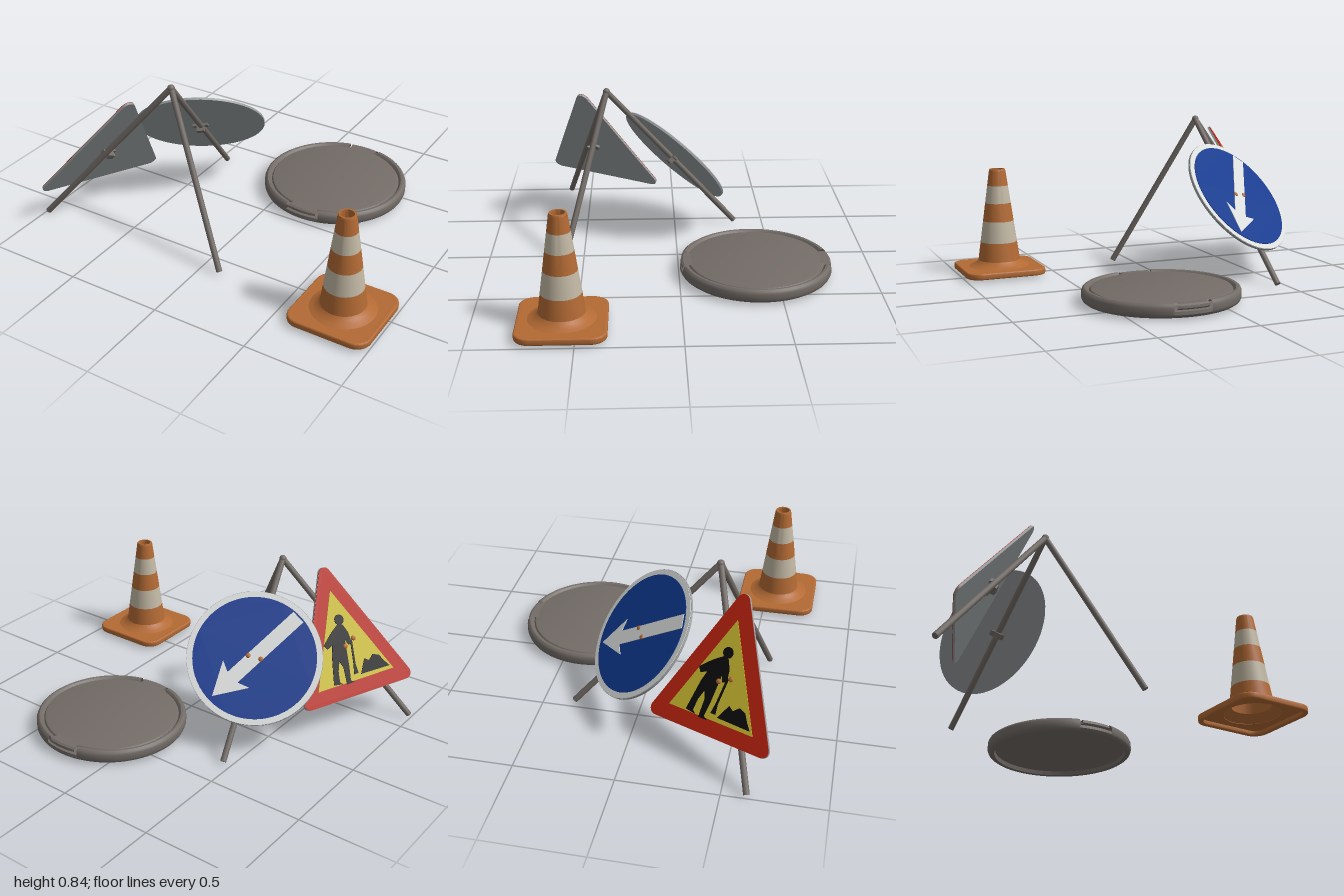
import * as THREE from 'three';
import { toCreasedNormals } from 'three/addons/utils/BufferGeometryUtils.js';

const V = (x, y, z) => new THREE.Vector3(x, y, z);

export function createModel() {
  const mat = (name, color, side = THREE.FrontSide) => {
    const m = new THREE.MeshStandardMaterial({ color, side });
    m.name = name;
    return m;
  };
  const iron = mat('dark iron', 0x736c67, THREE.DoubleSide);
  const steel = mat('plate grey', 0x999e9f);
  const orange = mat('cone orange', 0xb36a34, THREE.DoubleSide);
  const cream = mat('cone cream', 0xc2b8a4, THREE.DoubleSide);
  const white = mat('sign white', 0xdcdedd);
  const blue = mat('sign blue', 0x10398f);
  const red = mat('sign red', 0xb8210f);
  const yellow = mat('sign yellow', 0xc9ba2f);
  const black = mat('sign black', 0x0c0c0c);

  const root = new THREE.Group();
  root.name = 'roadworkSet';
  const group = (name, parent = root) => {
    const g = new THREE.Group();
    g.name = name;
    parent.add(g);
    return g;
  };
  const add = (parent, name, geo, material) => {
    const m = new THREE.Mesh(geo, material);
    m.name = name;
    parent.add(m);
    return m;
  };
  const lathe = (pts, seg = 48, start = 0, len = Math.PI * 2) => toCreasedNormals(
    new THREE.LatheGeometry(pts.map(p => new THREE.Vector2(...p)), seg, start, len), 0.6);
  const slab = (shape, depth) => toCreasedNormals(
    new THREE.ExtrudeGeometry(shape, { depth, bevelEnabled: false, curveSegments: 32 }), 0.5);
  const poly = pts => new THREE.Shape(pts.map(p => new THREE.Vector2(...p)));
  const disc = (r, x = 0, y = 0) => new THREE.Shape().absarc(x, y, r, 0, Math.PI * 2);
  const rod = (parent, name, a, b, r) => {
    const d = b.clone().sub(a);
    const m = add(parent, name, new THREE.CylinderGeometry(r, r, d.length(), 12), iron);
    m.position.copy(a).add(b).multiplyScalar(0.5);
    m.quaternion.setFromUnitVectors(V(0, 1, 0), d.normalize());
  };

  // Tripod
  const tripod = group('tripod');
  const apex = V(-0.31, 0.825, 0.37);
  const feet = [V(-0.985, 0.012, 0.62), V(0.105, 0.012, 0.6), V(-0.455, 0.012, -0.34)];
  feet.forEach((f, i) => rod(tripod, 'leg' + (i + 1), apex, f, 0.0155));
  add(tripod, 'apexJoint', new THREE.SphereGeometry(0.019, 16, 12), iron).position.copy(apex);

  // Sign frame: local y runs up the leg, local z is the sign's face normal
  const signFrame = (name, foot, normal, centre) => {
    const g = group(name);
    const u = apex.clone().sub(foot).normalize();
    const s = u.clone().cross(normal).normalize();
    const n = s.clone().cross(u);
    g.quaternion.setFromRotationMatrix(new THREE.Matrix4().makeBasis(s, u, n));
    g.position.copy(centre);
    return g;
  };
  const layer = (g, name, shape, z, depth, material) => {
    add(g, name, slab(shape, depth), material).position.z = z;
  };
  // Clamp behind the plate and two bolt heads on the face
  const fixings = (g, x, y) => {
    add(g, 'clamp', new THREE.BoxGeometry(0.085, 0.028, 0.014), iron).position.set(x, y, -0.014);
    add(g, 'clampCap', new THREE.BoxGeometry(0.042, 0.028, 0.045), iron).position.set(x, y, -0.028);
    for (const k of [-1, 1]) {
      const b = add(g, 'bolt', new THREE.SphereGeometry(0.013, 12, 8), orange);
      b.position.set(x + k * 0.033, y, 0.014);
      b.scale.z = 0.6;
    }
  };

  // Round arrow sign
  const round = signFrame('roundSign', feet[2], V(-0.41, 0.64, -0.65), V(-0.395, 0.43, 0.004));
  layer(round, 'roundPlate', disc(0.345), -0.006, 0.012, steel);
  layer(round, 'whiteRim', disc(0.343), 0.006, 0.003, white);
  layer(round, 'blueField', disc(0.314), 0.009, 0.003, blue);
  const half = [[0.037, -0.304], [0.037, 0.15], [0.097, 0.125]];
  const arrow = poly([...half, [0, 0.29], ...half.map(([x, y]) => [-x, y]).reverse()]);
  add(round, 'arrow', slab(arrow, 0.003), white).position.z = 0.012;
  round.children.at(-1).rotation.z = Math.PI - 0.54;
  fixings(round, 0, 0);

  // Triangular sign, corners given in the sign's plane
  const tri = signFrame('triangleSign', feet[0], V(-0.763, 0.515, -0.389), V(-0.681, 0.379, 0.439));
  const corners = [[0.19, 0.4075], [-0.39, -0.062], [0.2, -0.345]].map(c => new THREE.Vector2(...c));
  const roundedTriangle = (r, inset) => {
    const pts = [];
    const c = corners.map(p => p.clone().setLength(p.length() - r - inset));
    c.forEach((p, i) => {
      const out = (a, b) => Math.atan2(b.y - a.y, b.x - a.x) - Math.PI / 2;
      const a0 = out(c[(i + 2) % 3], p);
      const turn = (out(p, c[(i + 1) % 3]) - a0 + Math.PI * 4) % (Math.PI * 2);
      for (let k = 0; k <= 8; k++) {
        const a = a0 + turn * k / 8;
        pts.push([p.x + r * Math.cos(a), p.y + r * Math.sin(a)]);
      }
    });
    return poly(pts);
  };
  layer(tri, 'trianglePlate', roundedTriangle(0.035, 0), -0.006, 0.012, steel);
  layer(tri, 'redBorder', roundedTriangle(0.034, 0.001), 0.006, 0.003, red);
  layer(tri, 'yellowField', poly(corners.map(c => [c.x * 0.72, c.y * 0.72])), 0.009, 0.003, yellow);

  // Digging figure and heap, upright with respect to the triangle's base
  const picto = group('pictogram', tri);
  picto.rotation.z = -0.437;
  const paint = (name, shape) => layer(picto, name, shape, 0.012, 0.003, black);
  paint('head', disc(0.027, 0.0, 0.165));
  paint('body', poly([[-0.015, 0.145], [0.012, 0.135], [0.03, 0.09], [0.035, 0.03], [0.012, 0.025],
    [0.0, 0.06], [-0.01, -0.01], [-0.02, -0.08], [-0.035, -0.155], [-0.015, -0.168], [-0.062, -0.168],
    [-0.055, -0.08], [-0.068, -0.04], [-0.09, -0.09], [-0.1, -0.145], [-0.085, -0.16], [-0.138, -0.152],
    [-0.12, -0.08], [-0.1, 0.0], [-0.08, 0.05], [-0.115, 0.035], [-0.13, 0.06], [-0.07, 0.11]]));
  paint('shovel', poly([[0.03, 0.05], [0.04, 0.045], [0.02, -0.08], [0.022, -0.13], [-0.005, -0.13], [0.008, -0.08]]));
  paint('heap', poly([[0.035, -0.14], [0.06, -0.1], [0.08, -0.068], [0.105, -0.085], [0.135, -0.06],
    [0.17, -0.075], [0.19, -0.11], [0.215, -0.145]]));
  fixings(tri, 0.035, 0.025);

  // Manhole lid: rim in two arcs, with a lowered rim and a tab at front and back
  const lid = group('manholeLid');
  lid.position.set(0.225, 0, -0.397);
  const gap = 0.25;
  const under = [[0.35, 0.035], [0.355, 0.014], [0.375, 0.012], [0.386, 0.02]];
  add(lid, 'lidPlate', lathe([[0, 0.035], [0.35, 0.035]], 64), iron);
  add(lid, 'lidTop', lathe([[0.352, 0.066], [0.346, 0.074], [0.336, 0.077], [0, 0.077]], 64), iron);
  for (const a of [0, Math.PI]) {
    add(lid, 'rim', lathe([...under, [0.391, 0.032], [0.391, 0.062], [0.386, 0.074], [0.376, 0.081],
      [0.364, 0.08], [0.357, 0.074], [0.352, 0.066]], 40, a + gap, Math.PI - gap * 2), iron);
    add(lid, 'lowRim', lathe([...under, [0.391, 0.028], [0.389, 0.044], [0.378, 0.048], [0.345, 0.048]],
      10, a - gap, gap * 2), iron);
    add(lid, 'tab', lathe([[0.345, 0.05], [0.378, 0.05], [0.388, 0.058], [0.386, 0.07], [0.376, 0.077],
      [0.33, 0.077]], 10, a - gap * 0.85, gap * 1.7), iron);
  }

  // Traffic cone: hollow base, flared foot, coloured bands and an open inside
  const cone = group('trafficCone');
  cone.position.set(0.78, 0, 0.566);
  const roundedSquare = (h, r) => {
    const s = new THREE.Shape();
    [[1, 1], [-1, 1], [-1, -1], [1, -1]].forEach(([x, y], i) =>
      s.absarc(x * (h - r), y * (h - r), r, i * Math.PI / 2, (i + 1) * Math.PI / 2));
    return s;
  };
  const flat = (name, shape, hole, y, depth, bevel) => {
    shape.holes.push(hole);
    const geo = new THREE.ExtrudeGeometry(shape, {
      depth, curveSegments: 12, bevelEnabled: bevel > 0, bevelSize: bevel, bevelThickness: bevel, bevelSegments: 3,
    }).rotateX(-Math.PI / 2);
    add(cone, name, toCreasedNormals(geo, 0.6), orange).position.y = y;
  };
  flat('baseSkirt', roundedSquare(0.209, 0.07), roundedSquare(0.195, 0.06), 0.019, 0.021, 0.006);
  flat('baseTop', roundedSquare(0.207, 0.07), disc(0.145), 0.035, 0.011, 0);
  add(cone, 'flare', lathe([[0.165, 0.045], [0.145, 0.053], [0.122, 0.066], [0.112, 0.078]]), orange);
  const radius = y => 0.112 - (y - 0.078) * 0.139;
  const bands = [0.078, 0.178, 0.292, 0.39, 0.485, 0.565];
  for (let i = 0; i < 5; i++) {
    const [a, b] = [bands[i], bands[i + 1]];
    add(cone, 'band' + (i + 1), lathe([[radius(a), a], [radius(b), b]]), i % 2 ? cream : orange);
  }
  add(cone, 'coneInside', lathe([[0.044, 0.565], [0.041, 0.574], [0.033, 0.574], [0.032, 0.56],
    [0.1, 0.075], [0.145, 0.037]]), orange);

  return root;
}
